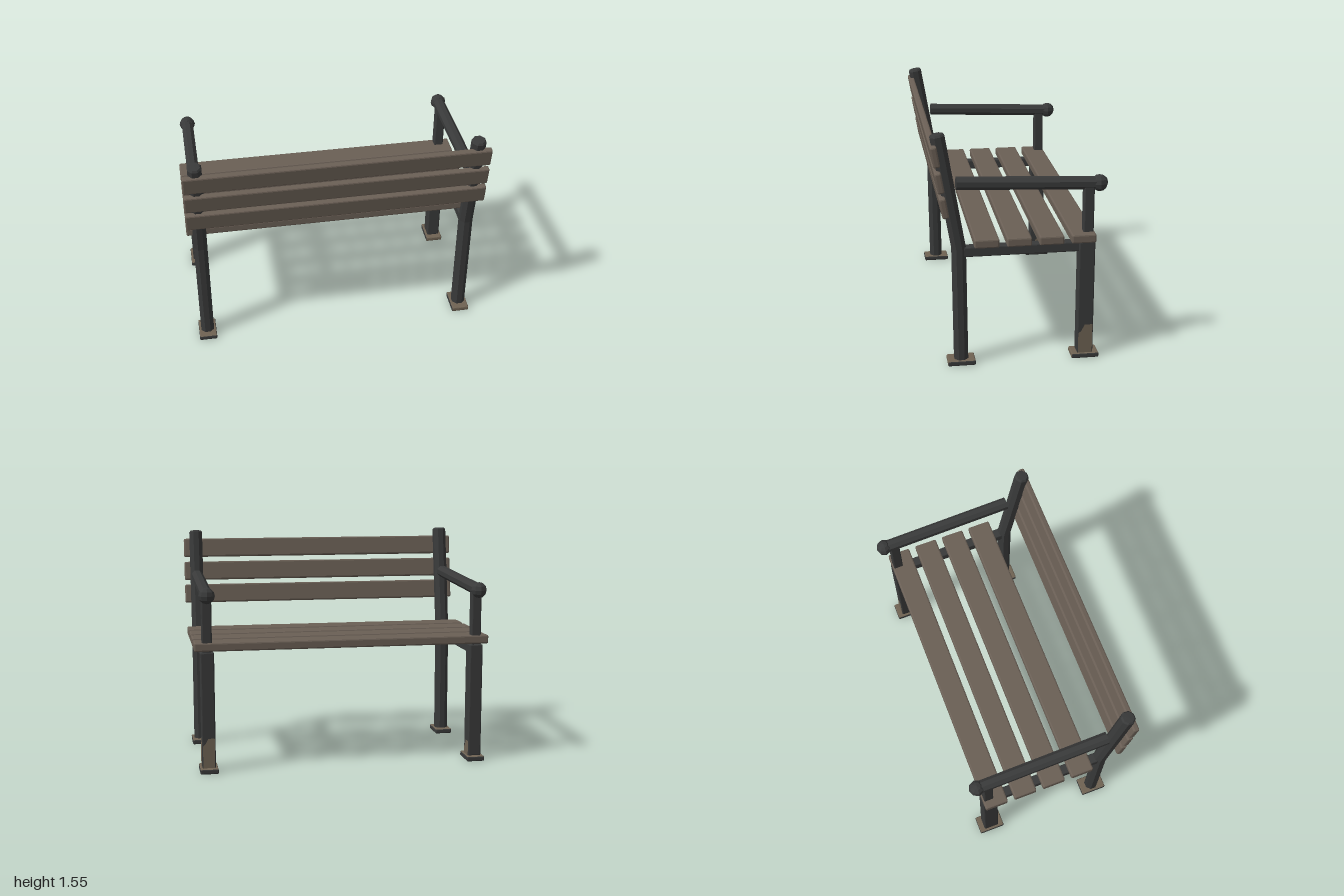
import * as THREE from 'three';
import { RoundedBoxGeometry } from 'three/addons/geometries/RoundedBoxGeometry.js';

export function createModel() {
  const mat = (name, color) => {
    const m = new THREE.MeshStandardMaterial({ color, flatShading: true });
    m.name = name;
    return m;
  };
  const wood = mat('weathered wood', 0x6a5f55);
  const metal = mat('dark metal', 0x393a3a);
  const rust = mat('rust', 0x6f6353);

  const bench = new THREE.Group();
  bench.name = 'bench';

  const add = (name, geometry, material, x, y, z, parent = bench) => {
    const mesh = new THREE.Mesh(geometry, material);
    mesh.name = name;
    mesh.position.set(x, y, z);
    parent.add(mesh);
    return mesh;
  };
  // Box with a small chamfer on its edges
  const block = (w, h, d, bevel = 0.008) => new RoundedBoxGeometry(w, h, d, 1, bevel);

  // Seat slats
  for (let i = 0; i < 4; i++) {
    add('seatSlat', block(2, 0.058, 0.158, 0.01), wood, 0, 0.844, -0.4 + i * 0.206);
  }

  // Backrest slats, leaning with the posts
  [[1.087, 0.482], [1.25, 0.508], [1.416, 0.532]].forEach(([y, z]) => {
    add('backSlat', block(2, 0.132, 0.042, 0.01), wood, 0, y, z).rotation.x = 0.17;
  });

  // Eight-sided rear post: straight leg, then leaning back above the seat
  const R = 0.045 / Math.cos(Math.PI / 8);
  const profile = [[0, 0.03], [R, 0.03], [R, 0.8], [R, 1.53], [R - 0.01, 1.542], [0, 1.544]]
    .map(([r, y]) => new THREE.Vector2(r, y));
  const postGeometry = new THREE.LatheGeometry(profile, 8, Math.PI / 8);
  const p = postGeometry.attributes.position;
  for (let i = 0; i < p.count; i++) {
    const y = p.getY(i), z = p.getZ(i);
    const lean = y > 1 ? 0.17 : y > 0.5 ? 0.085 : 0;
    p.setY(i, y - z * lean);
    p.setZ(i, z + 0.38 + 0.01 * Math.min(y, 0.8) + 0.17 * Math.max(0, y - 0.8));
  }
  postGeometry.computeVertexNormals();

  // Armrest bar between two points in the side plane
  const armBack = new THREE.Vector3(0, 1.225, 0.4);
  const armFront = new THREE.Vector3(0, 1.187, -0.5);
  const armVector = armBack.clone().sub(armFront);
  const armGeometry = new THREE.CylinderGeometry(0.042, 0.042, armVector.length(), 8);
  armGeometry.rotateY(Math.PI / 8);

  // Outline of a worn patch on a leg face
  const patch = (w, low, high) => {
    const s = new THREE.Shape();
    s.moveTo(-w / 2, 0);
    s.lineTo(w / 2, 0);
    s.lineTo(w / 2, high);
    s.lineTo(-w * 0.05, high);
    s.lineTo(-w * 0.3, low + (high - low) * 0.25);
    s.lineTo(-w / 2, low);
    return new THREE.ShapeGeometry(s);
  };

  for (const side of [1, -1]) {
    const frame = new THREE.Group();
    frame.name = side > 0 ? 'leftFrame' : 'rightFrame';
    frame.position.x = side * 0.915;
    bench.add(frame);

    add('rearPost', postGeometry, metal, 0, 0, 0, frame);
    add('frontLeg', block(0.09, 0.78, 0.104), metal, 0, 0.42, -0.43, frame);
    add('sideRail', block(0.066, 0.066, 0.84), metal, 0, 0.775, -0.06, frame);
    add('armPost', block(0.066, 0.38, 0.066), metal, 0, 1.0, -0.438, frame);

    const arm = add('armrest', armGeometry, metal, 0, 0, 0, frame);
    arm.position.copy(armBack).add(armFront).multiplyScalar(0.5);
    arm.quaternion.setFromUnitVectors(new THREE.Vector3(0, 1, 0), armVector.clone().normalize());
    add('armKnob', new THREE.SphereGeometry(0.054, 8, 6), metal, 0, 1.187, -0.507, frame);

    // Foot plates with worn tops
    const footMaterials = [metal, metal, rust, metal, side > 0 ? rust : metal, metal];
    for (const z of [0.38, -0.43]) {
      add('footPlate', block(0.122, 0.034, 0.18), footMaterials, 0, 0.017, z, frame);
    }

    // Worn patches at the bottom of the front legs
    const tall = side > 0;
    add('legPatch', patch(0.092, tall ? 0.14 : 0.04, tall ? 0.2 : 0.1), rust,
      0.0465, 0.034, -0.43, frame).rotation.y = Math.PI / 2;
    if (tall) {
      add('legPatch', patch(0.078, 0.15, 0.2), rust, 0, 0.034, -0.4835, frame).rotation.y = Math.PI;
    }
  }
  return bench;
}
